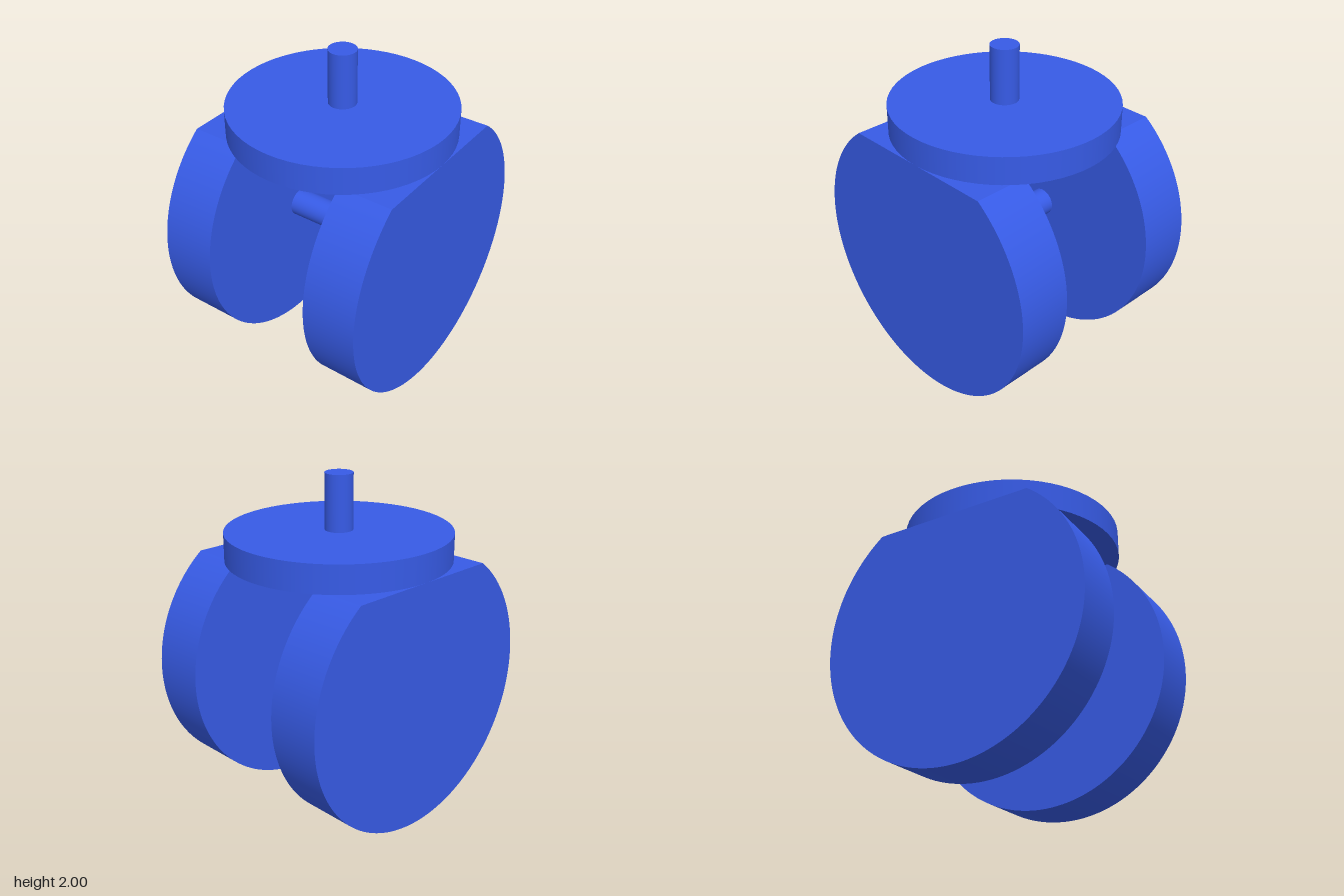
import * as THREE from 'three';
import { toCreasedNormals } from 'three/addons/utils/BufferGeometryUtils.js';

const U = 1 / 6; // base unit: every dimension is a multiple or half of it

export function createModel() {
  const group = new THREE.Group();
  const material = new THREE.MeshStandardMaterial({ color: 0x375be6 });

  const add = (name, geometry, x, y, z) => {
    const mesh = new THREE.Mesh(geometry, material);
    mesh.name = name;
    mesh.position.set(x, y, z);
    group.add(mesh);
    return mesh;
  };

  // Wheels: thick discs with the top sliced flat under the plate
  const radius = 5 * U;
  const cut = Math.asin(0.8);
  const profile = new THREE.Shape();
  profile.absarc(0, 0, radius, Math.PI - cut, 2 * Math.PI + cut, false);
  profile.closePath();
  const wheel = toCreasedNormals(
    new THREE.ExtrudeGeometry(profile, { depth: 2 * U, bevelEnabled: false, curveSegments: 56 }),
    0.4
  );
  add('frontWheel', wheel, 0, radius, 2 * U);
  add('backWheel', wheel, 0, radius, -4 * U);

  // Axle joining the wheels
  const axle = add('axle', new THREE.CylinderGeometry(U / 2, U / 2, 4 * U, 48), 0, radius, 0);
  axle.rotation.x = Math.PI / 2;

  // Mounting plate and stem
  add('mountingPlate', new THREE.CylinderGeometry(4 * U, 4 * U, U, 64), 0, 9.5 * U, 0);
  add('stem', new THREE.CylinderGeometry(U / 2, U / 2, 2 * U, 48), 0, 11 * U, 0);

  return group;
}
